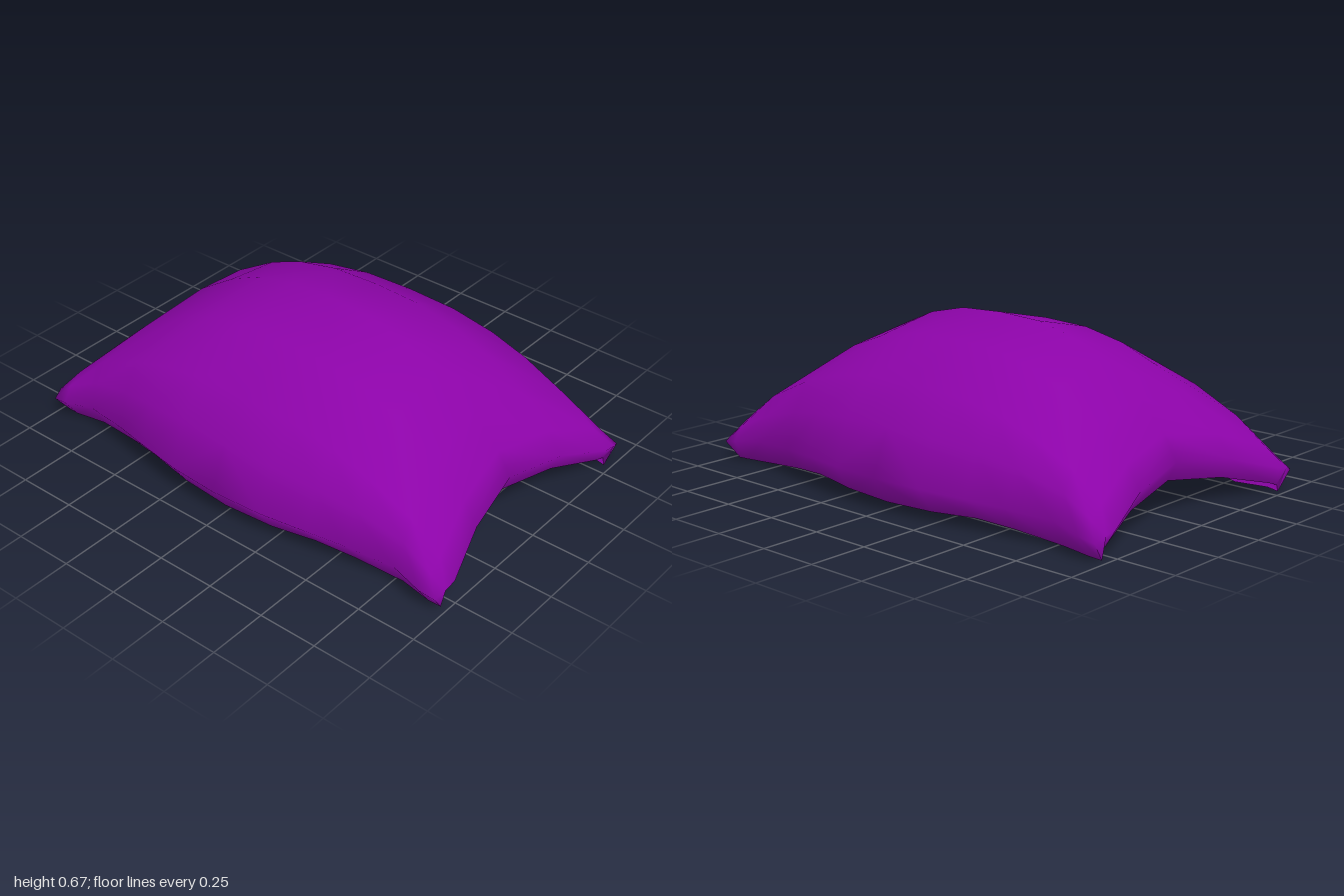
import * as THREE from 'three';

// Half profiles: columns run from the crown to the side, rows from the middle to the end.
const COL_X = [0, 0.28, 0.515, 0.635, 0.71];
const COL_Y_MIDDLE = [0.67, 0.605, 0.47, 0.32, 0.14];
const COL_Y_END = [0.22, 0.18, 0.11, 0.1, 0.08];
const COL_STRETCH = [1, 1.055, 1.135, 1.135, 1.12];
const COL_PINCH = [0, 0, 0.1, 0.8, 1];
const ROW_Z = [0, 0.2, 0.375, 0.52, 0.7, 0.82, 0.88];
const ROW_HEIGHT = [1, 0.98, 0.89, 0.75, 0.49, 0.21, 0];
const ROW_WIDTH = [1, 0.98, 0.93, 0.88, 0.83, 0.87, 0.86];
// Heights of the tucked-under rim along the side and along the end.
const SIDE_RIM_Y = [0.03, 0.035, 0.045, 0.03, 0.005, 0.005];
const END_RIM_Y = [0.14, 0.1, 0.04, 0.02];
const NC = COL_X.length, NR = ROW_Z.length;

// Point on the shell; the last column and row form the shared rim.
function shellPoint(i, j, inner) {
  const ci = Math.abs(i), rj = Math.abs(j);
  const c = Math.min(ci, NC - 1), r = Math.min(rj, NR - 1);
  const sideRim = ci === NC, endRim = rj === NR;
  let x = COL_X[c] * (1 - (1 - ROW_WIDTH[r]) * COL_PINCH[c]);
  let z = ROW_Z[r] * COL_STRETCH[c];
  let y = THREE.MathUtils.lerp(COL_Y_END[c], COL_Y_MIDDLE[c], ROW_HEIGHT[r]);
  if ((sideRim || endRim) && c === NC - 1 && r === NR - 1) {
    // Both rims meet in one tip at the corner
    x *= 0.9;
    y = 0;
    z *= 0.985;
  } else if (sideRim) {
    x *= 0.9;
    y = SIDE_RIM_Y[r];
  } else if (endRim) {
    y = END_RIM_Y[c];
    z *= 0.955;
  } else if (inner) {
    x *= 0.965;
    y -= 0.02;
    z *= 0.975;
  }
  return [Math.sign(i) * x, y, Math.sign(j) * z];
}

function shellGeometry(inner) {
  const positions = [], index = [];
  const stride = 2 * NC + 1;
  for (let j = -NR; j <= NR; j++) {
    for (let i = -NC; i <= NC; i++) positions.push(...shellPoint(i, j, inner));
  }
  for (let j = 0; j < 2 * NR; j++) {
    for (let i = 0; i < 2 * NC; i++) {
      // The corner cells are closed up by the tips
      if ((i === 0 || i === 2 * NC - 1) && (j === 0 || j === 2 * NR - 1)) continue;
      const a = j * stride + i, b = a + stride, c = a + 1, d = b + 1;
      // Mirror the diagonals so that both halves match
      const flip = (i < NC) === (j < NR);
      const tris = flip ? [[a, b, d], [a, d, c]] : [[a, b, c], [b, d, c]];
      for (const [p, q, s] of tris) index.push(...(inner ? [p, s, q] : [p, q, s]));
    }
  }
  const geometry = new THREE.BufferGeometry();
  geometry.setAttribute('position', new THREE.Float32BufferAttribute(positions, 3));
  geometry.setIndex(index);
  geometry.computeVertexNormals();
  return geometry;
}

export function createModel() {
  const group = new THREE.Group();
  group.name = 'curvedPad';
  const material = new THREE.MeshStandardMaterial({ color: 0x8c04a8 });

  // Domed cover with edges curling under
  const cover = new THREE.Mesh(shellGeometry(false), material);
  cover.name = 'outerCover';

  // Hollow underside meeting the cover at the rim
  const lining = new THREE.Mesh(shellGeometry(true), material);
  lining.name = 'innerLining';

  group.add(cover, lining);
  return group;
}
